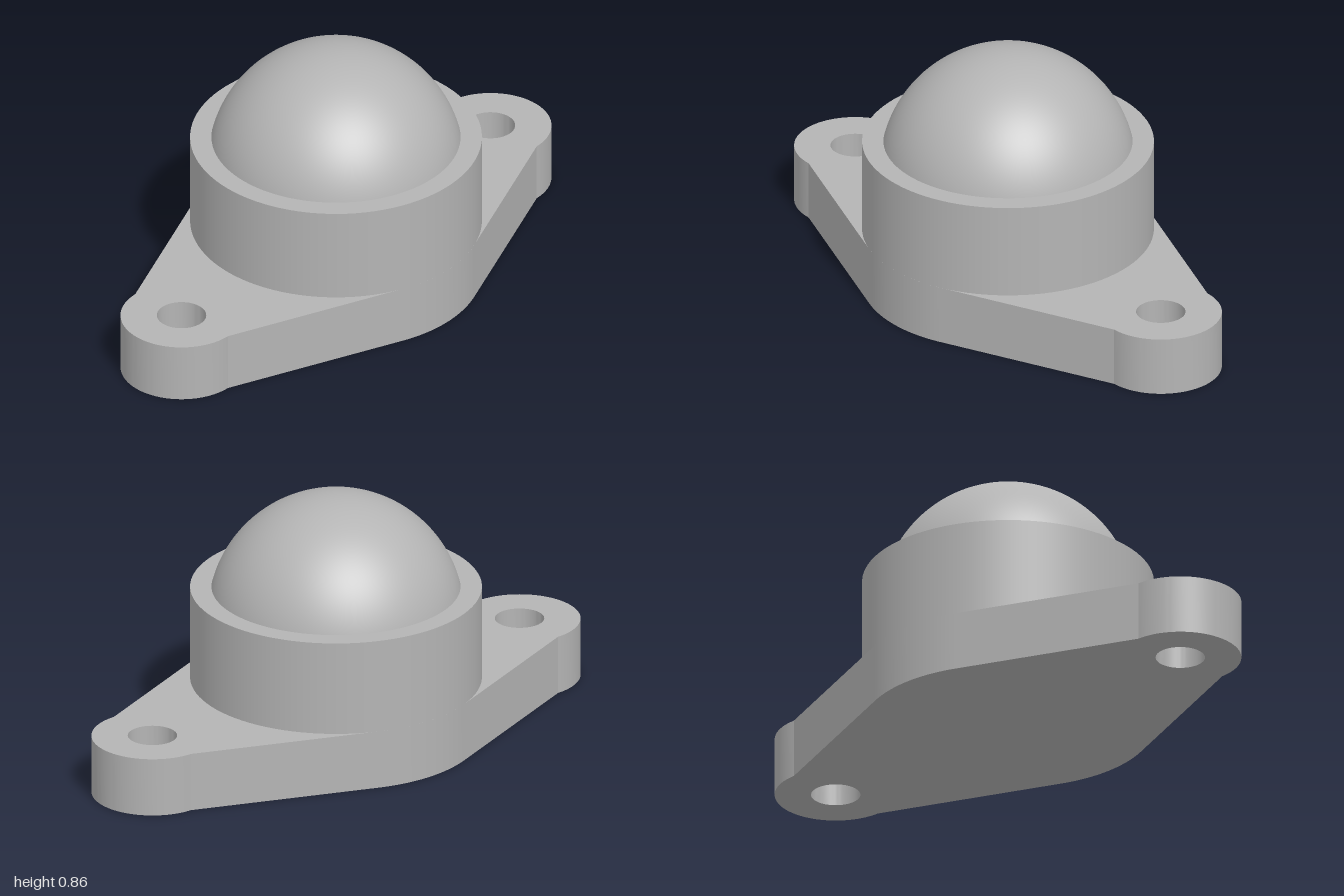
import * as THREE from 'three';
import { toCreasedNormals } from 'three/addons/utils/BufferGeometryUtils.js';

const FLANGE_H = 0.205, COLLAR_TOP = 0.535, COLLAR_R = 0.49;
const EAR_X = 0.795, EAR_R = 0.205, HOLE_R = 0.083;
const DOME_R = 0.431, DOME_Y = 0.431;

export function createModel() {
  const group = new THREE.Group();
  const grey = new THREE.MeshStandardMaterial({ color: 0xb4b4b4 });
  grey.name = 'plain grey';

  const add = (name, geometry) => {
    const mesh = new THREE.Mesh(geometry, grey);
    mesh.name = name;
    group.add(mesh);
    return mesh;
  };

  // Flange: round ears joined to the central circle by tangent lines
  const tangent = Math.atan2(EAR_R, EAR_X) + Math.acos(COLLAR_R / Math.hypot(EAR_X, EAR_R));
  const outline = new THREE.Shape();
  outline.moveTo(EAR_X, -EAR_R);
  outline.absarc(EAR_X, 0, EAR_R, -Math.PI / 2, Math.PI / 2, false);
  outline.absarc(0, 0, COLLAR_R, tangent, Math.PI - tangent, false);
  outline.absarc(-EAR_X, 0, EAR_R, Math.PI / 2, Math.PI * 1.5, false);
  outline.absarc(0, 0, COLLAR_R, Math.PI + tangent, 2 * Math.PI - tangent, false);
  outline.closePath();

  // Bolt holes through both ears
  for (const side of [-1, 1]) {
    const hole = new THREE.Path();
    hole.absarc(side * EAR_X, 0, HOLE_R, 0, Math.PI * 2, true);
    outline.holes.push(hole);
  }
  const flange = new THREE.ExtrudeGeometry(outline, { depth: FLANGE_H, bevelEnabled: false, curveSegments: 32 });
  flange.rotateX(-Math.PI / 2);
  add('flange', toCreasedNormals(flange, 0.3));

  // Collar wall and its flat rim around the dome
  const collarH = COLLAR_TOP - FLANGE_H;
  add('collarWall', new THREE.CylinderGeometry(COLLAR_R, COLLAR_R, collarH, 96, 1, true))
    .position.y = FLANGE_H + collarH / 2;
  const domeAngle = Math.acos((COLLAR_TOP - DOME_Y) / DOME_R);
  const rim = new THREE.RingGeometry(DOME_R * Math.sin(domeAngle), COLLAR_R, 96);
  rim.rotateX(-Math.PI / 2);
  add('collarRim', rim).position.y = COLLAR_TOP;

  // Dome: the exposed cap of the ball
  add('dome', new THREE.SphereGeometry(DOME_R, 96, 32, 0, Math.PI * 2, 0, domeAngle))
    .position.y = DOME_Y;

  return group;
}
